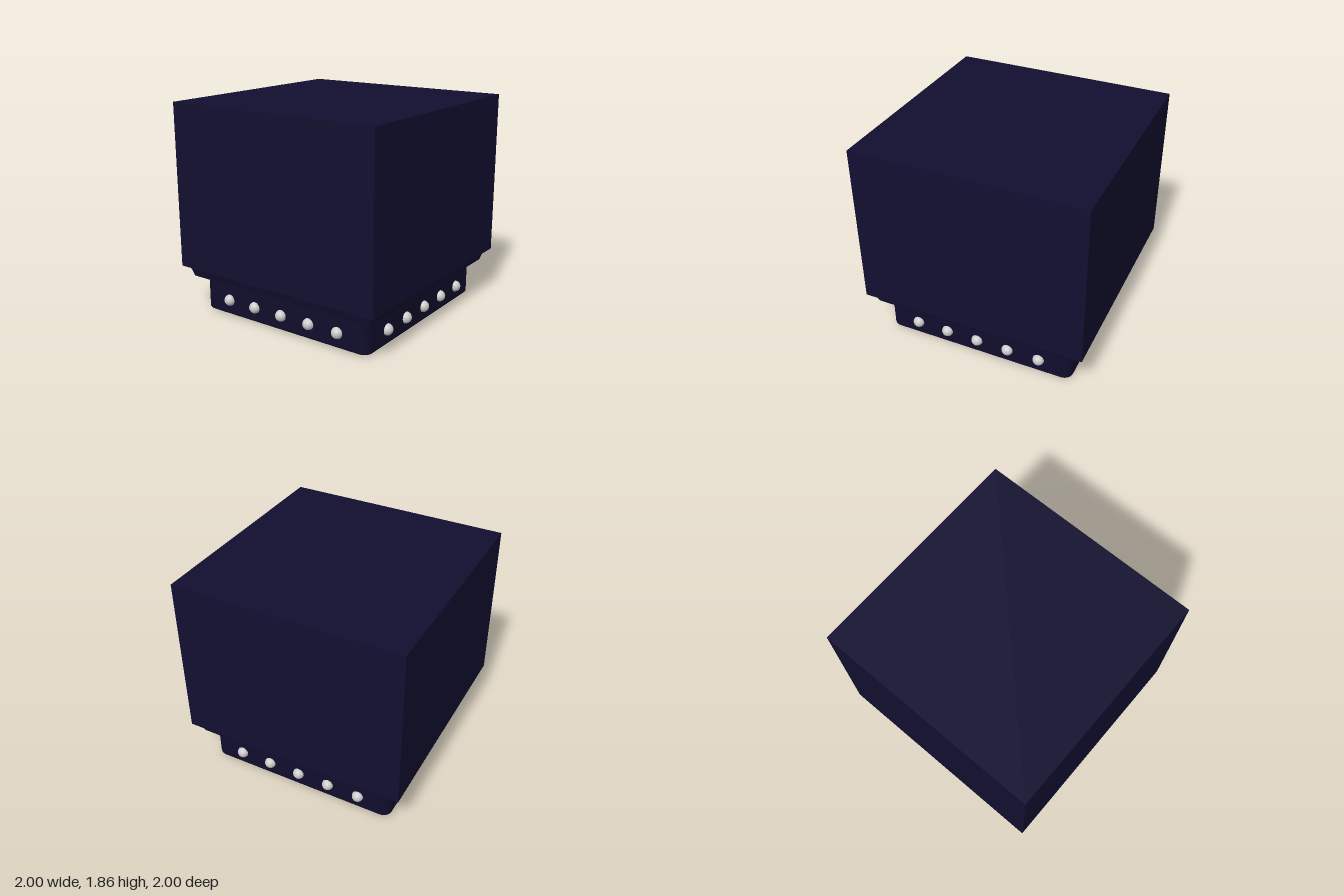
import * as THREE from 'three';
import { toCreasedNormals } from 'three/addons/utils/BufferGeometryUtils.js';

// Stacked rounded-square rings, each [halfWidth, y, cornerRadius], capped at both ends
function loftSquare(sections, steps = 8) {
  const pos = [], idx = [], n = 4 * (steps + 1);
  for (const [half, y, r] of sections) {
    for (let c = 0; c < 4; c++) {
      const mid = Math.PI / 4 + c * Math.PI / 2;
      const d = (half - r) * Math.SQRT2;
      for (let s = 0; s <= steps; s++) {
        const a = (c + s / steps) * Math.PI / 2;
        pos.push(d * Math.cos(mid) + r * Math.cos(a), y, -d * Math.sin(mid) - r * Math.sin(a));
      }
    }
  }
  const last = (sections.length - 1) * n;
  for (let k = 0; k < last; k += n) {
    for (let i = 0; i < n; i++) {
      const j = (i + 1) % n;
      idx.push(k + i, k + j, k + n + j, k + i, k + n + j, k + n + i);
    }
  }
  for (let i = 1; i < n - 1; i++) idx.push(0, i + 1, i, last, last + i, last + i + 1);
  const geo = new THREE.BufferGeometry();
  geo.setAttribute('position', new THREE.Float32BufferAttribute(pos, 3));
  geo.setIndex(idx);
  return toCreasedNormals(geo, 0.6);
}

export function createModel() {
  const model = new THREE.Group();
  const navy = new THREE.MeshStandardMaterial({ color: 0x120f30 });
  const navyFlat = new THREE.MeshStandardMaterial({ color: 0x120f30, flatShading: true });
  const grey = new THREE.MeshStandardMaterial({ color: 0xcccccc });

  const add = (name, geometry, material, y = 0) => {
    const mesh = new THREE.Mesh(geometry, material);
    mesh.name = name;
    mesh.position.y = y;
    model.add(mesh);
    return mesh;
  };

  // Main block
  add('block', new THREE.BoxGeometry(2, 1.44, 2), navy, 1.14);

  // Tapered collar below the block
  const collar = new THREE.CylinderGeometry(0.955 * Math.SQRT2, 0.925 * Math.SQRT2, 0.1, 4);
  collar.rotateY(Math.PI / 4);
  add('collar', collar, navyFlat, 0.37);

  // Plinth: rounded foot, straight wall, small cove up to the collar
  const foot = [];
  for (let i = 0; i <= 6; i++) {
    const a = (i / 6) * Math.PI / 2;
    foot.push([0.78 + 0.08 * Math.sin(a), 0.035 * (1 - Math.cos(a)), 0.03 + 0.05 * Math.sin(a)]);
  }
  add('plinth', loftSquare([
    ...foot,
    [0.86, 0.285, 0.08], [0.864, 0.3, 0.076], [0.875, 0.311, 0.065],
    [0.892, 0.317, 0.045], [0.92, 0.32, 0.01],
  ]), navy);

  // Five studs on each of the four plinth sides
  const studGeo = new THREE.SphereGeometry(0.05, 24, 16);
  const studs = new THREE.Group();
  studs.name = 'studs';
  for (let side = 0; side < 4; side++) {
    const row = new THREE.Group();
    row.name = 'studRow';
    row.rotation.y = side * Math.PI / 2;
    for (let i = -2; i <= 2; i++) {
      const stud = new THREE.Mesh(studGeo, grey);
      stud.name = 'stud';
      stud.position.set(i * 0.287, 0.15, 0.86);
      row.add(stud);
    }
    studs.add(row);
  }
  model.add(studs);

  return model;
}
